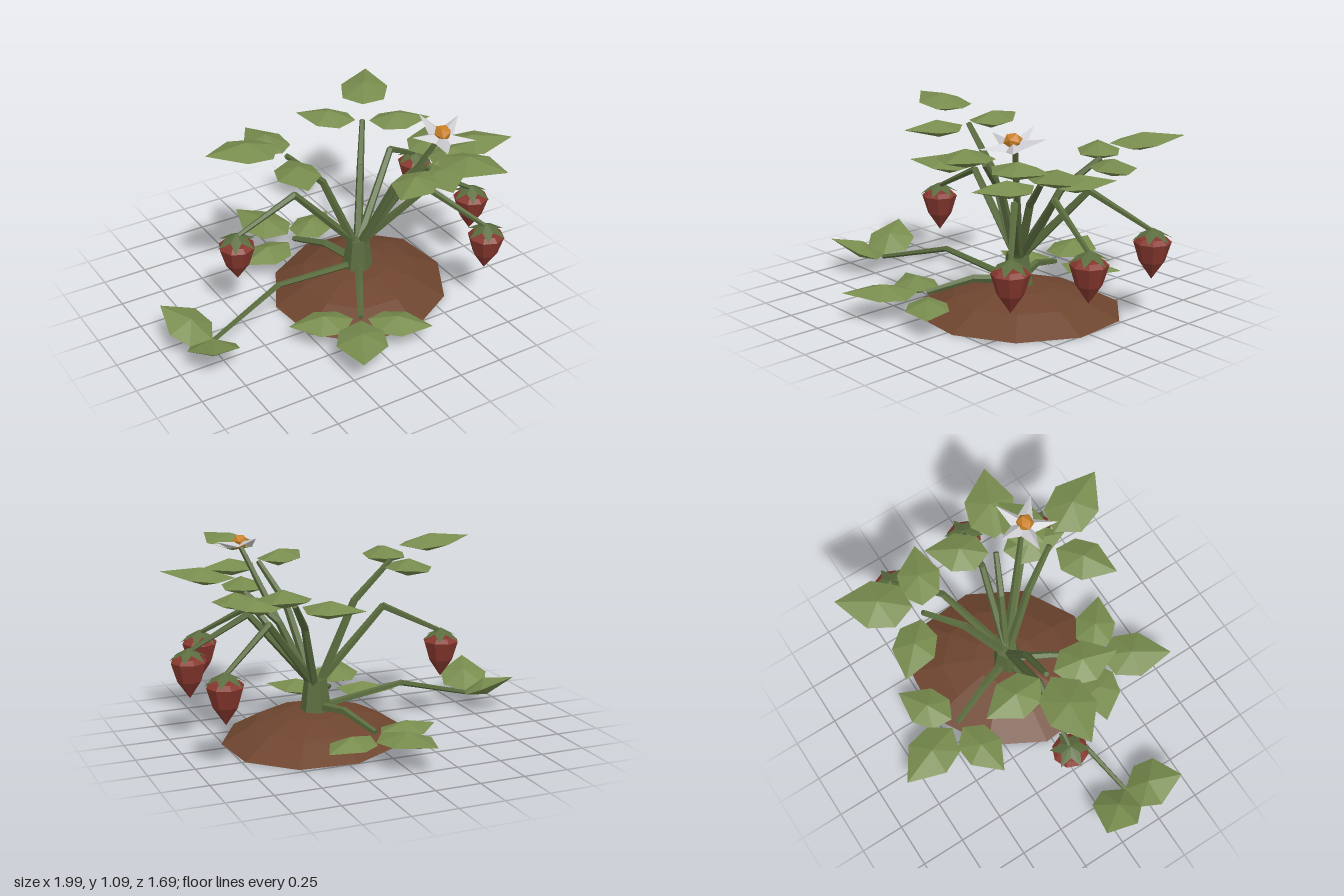
import * as THREE from 'three';

const mat = (name, color) =>
  Object.assign(new THREE.MeshStandardMaterial({ color, flatShading: true, side: THREE.DoubleSide }), { name });
const V = (x, y, z) => new THREE.Vector3(x, y, z);

export function createModel() {
  const M = {
    soil: mat('soil brown', 0x6e452f), leaf: mat('leaf green', 0x788c4e), stem: mat('stem green', 0x5a6c3e),
    fruit: mat('berry red', 0x87382f), petal: mat('petal white', 0xcfced2), pollen: mat('pollen orange', 0xc98026),
  };
  const plant = new THREE.Group();
  plant.name = 'berryPlant';
  const CX = 0.23, CZ = 0.02;

  const add = (parent, name, geo, material, pos = V(0, 0, 0)) => {
    const m = new THREE.Mesh(geo, material);
    m.name = name;
    m.position.copy(pos);
    parent.add(m);
    return m;
  };
  const group = (name) => {
    const g = new THREE.Group();
    g.name = name;
    plant.add(g);
    return g;
  };

  // Tapering stalk made of straight sections between points
  const stalk = (parent, name, pts, r0, r1) => {
    const n = pts.length - 1;
    for (let i = 0; i < n; i++) {
      const d = pts[i + 1].clone().sub(pts[i]), len = d.length();
      const ra = r0 + (r1 - r0) * i / n, rb = r0 + (r1 - r0) * (i + 1) / n;
      const m = add(parent, name, new THREE.CylinderGeometry(rb, ra, len + 0.01, 5), M.stem,
        pts[i].clone().lerp(pts[i + 1], 0.5));
      m.quaternion.setFromUnitVectors(V(0, 1, 0), d.normalize());
    }
  };

  // Fan of triangles from an upper centre to an outline, closed by a lower centre if given
  const fan = (rim, top, bottom) => {
    const p = [];
    rim.forEach((a, i) => {
      const b = rim[(i + 1) % rim.length];
      for (const v of bottom ? [top, a, b, bottom, b, a] : [top, a, b]) p.push(v.x, v.y, v.z);
    });
    const g = new THREE.BufferGeometry();
    g.setAttribute('position', new THREE.Float32BufferAttribute(p, 3));
    g.computeVertexNormals();
    return g;
  };

  // Faceted leaflet with a ridge above and a keel below, pointing along local +z
  const leaflet = (parent, name, pos, angle, len, halfWidth, pitch) => {
    const rim = [
      V(0, 0, 0), V(halfWidth * 0.88, -0.012, len * 0.2), V(halfWidth, -0.008, len * 0.56),
      V(0, 0, len), V(-halfWidth, -0.008, len * 0.56), V(-halfWidth * 0.88, -0.012, len * 0.2),
    ];
    const m = add(parent, name, fan(rim, V(0, 0.042, len * 0.45), V(0, -0.055, len * 0.4)), M.leaf, pos);
    m.rotation.set(-pitch, angle, 0, 'YXZ');
  };

  // Star-shaped fan for blossoms and berry caps
  const star = (n, rOut, rIn, yOut, yIn, yTop) => {
    const rim = [];
    for (let i = 0; i < n * 2; i++) {
      const a = -i * Math.PI / n, r = i % 2 ? rIn : rOut;
      rim.push(V(Math.cos(a) * r, i % 2 ? yIn : yOut, Math.sin(a) * r));
    }
    return fan(rim, V(0, yTop, 0));
  };

  // Soil mound, longer along one diagonal, and crown
  const profile = [[0, 0], [0.495, 0], [0.33, 0.09], [0.16, 0.14], [0, 0.15]].map(p => new THREE.Vector2(...p));
  const mound = add(plant, 'soilMound', new THREE.LatheGeometry(profile, 10), M.soil, V(0.243, 0, 0.017));
  mound.rotation.y = Math.PI / 4;
  mound.scale.x = 1.14;
  add(plant, 'crown', new THREE.CylinderGeometry(0.062, 0.09, 0.2, 6), M.stem, V(CX, 0.22, CZ));

  // Three-part leaves: x and z of the tip, height of the stalk end
  const leaves = [
    [-0.66, -0.04, 0.95], [0.74, -0.72, 0.83], [0.6, 0.83, 0.91], [0.99, 0.37, 0.8],
    [-0.09, -0.85, 0.12], [-0.25, 0.84, 0.12],
  ];
  for (const [tx, tz, y] of leaves) {
    const low = y < 0.3, g = group(low ? 'lowLeaf' : 'tallLeaf');
    const d = V(tx - CX, 0, tz - CZ), reach = d.length() - 0.46, a = Math.atan2(d.x, d.z);
    d.normalize();
    const at = (r, h) => V(CX + d.x * r, h, CZ + d.z * r);
    const pts = low
      ? [at(0.03, 0.17), at(reach * 0.5, 0.19), at(reach, y + 0.01)]
      : [at(0.02, 0.28), at(reach * 0.52, 0.28 + (y - 0.28) * 0.69), at(reach, y)];
    stalk(g, 'leafStalk', pts, 0.027, 0.016);
    leaflet(g, 'middleLeaflet', at(reach + 0.05, y + (low ? 0.02 : 0.08)), a, 0.41, 0.135, low ? 0.04 : 0.08);
    for (const s of [-1, 1]) {
      const b = a + s * 1.4;
      leaflet(g, 'sideLeaflet', at(reach, y).add(V(Math.sin(b) * 0.04, 0, Math.cos(b) * 0.04)), b, 0.35, 0.115,
        low ? -0.02 : 0.02);
    }
  }

  // Runner with two young leaflets tilted upwards
  const runner = group('runner');
  stalk(runner, 'runnerStem', [V(0.2, 0.16, 0.02), V(-0.31, 0.22, 0.07), V(-0.77, 0.08, 0.17)], 0.02, 0.013);
  for (const [x, z] of [[-0.95, -0.09], [-0.89, 0.44]])
    leaflet(runner, 'runnerLeaflet', V(-0.77, 0.09, 0.17), Math.atan2(x + 0.77, z - 0.17), 0.335, 0.135, 0.4);

  // Hanging berries on arched stalks
  const berryProfile = [[0, 0], [0.068, 0.1], [0.1, 0.205], [0.075, 0.228], [0, 0.235]]
    .map(p => new THREE.Vector2(...p));
  for (const [x, z, y] of [[-0.5, -0.04, 0.27], [0.73, 0.53, 0.245], [0.9, 0.16, 0.25], [0.86, -0.35, 0.25]]) {
    const g = group('berry');
    const top = V(CX + (x - CX) * 0.53, 0.7, CZ + (z - CZ) * 0.53);
    stalk(g, 'berryStalk', [V(CX, 0.28, CZ), top, V(x, y + 0.26, z)], 0.026, 0.013);
    add(g, 'berryFruit', new THREE.LatheGeometry(berryProfile, 8), M.fruit, V(x, y, z));
    add(g, 'berryCap', star(6, 0.112, 0.058, 0.217, 0.25, 0.28), M.stem, V(x, y, z));
  }

  // Blossom leaning towards the front, with creased petals
  stalk(plant, 'blossomStalk', [V(0.25, 0.28, 0.03), V(0.54, 1.02, 0.33)], 0.026, 0.015);
  const blossom = group('blossom');
  blossom.position.set(0.54, 1.035, 0.34);
  blossom.rotation.set(0.23, 0.5, 0, 'XYZ');
  add(blossom, 'petals', star(5, 0.18, 0.07, 0.015, -0.02, 0.01), M.petal);
  const heart = add(blossom, 'blossomHeart', new THREE.IcosahedronGeometry(0.05, 0), M.pollen, V(0, 0.012, 0));
  heart.scale.y = 0.85;

  return plant;
}
